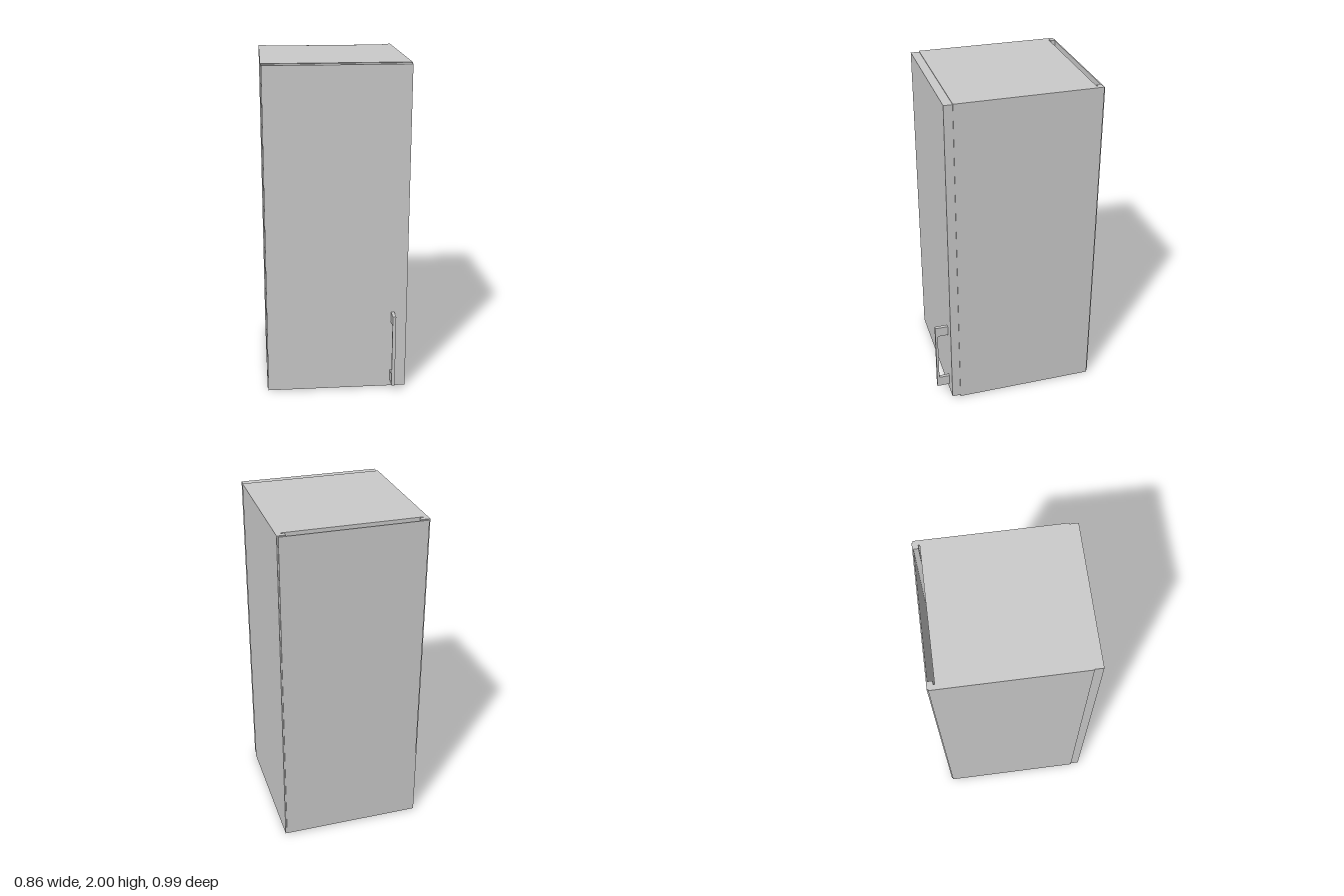
import * as THREE from 'three';

const material = new THREE.MeshStandardMaterial({ color: 0xcccccc });

export function createModel() {
  const cabinet = new THREE.Group();
  cabinet.name = 'wallCabinet';

  function add(name, geometry) {
    const mesh = new THREE.Mesh(geometry, material);
    mesh.name = name;
    cabinet.add(mesh);
    return mesh;
  }

  // Box given by its extents along each axis
  function panel(name, [x0, x1], [y0, y1], [z0, z1]) {
    add(name, new THREE.BoxGeometry(x1 - x0, y1 - y0, z1 - z0))
      .position.set((x0 + x1) / 2, (y0 + y1) / 2, (z0 + z1) / 2);
  }

  const H = 2, inner = 0.378, outer = 0.4275, groove = 0.399;
  const front = 0.365, back = -0.488, board = 0.048;

  // Side panels, each with a full-height groove for the inner back
  for (const [name, s] of [['leftSide', 1], ['rightSide', -1]]) {
    const profile = [
      [outer, front], [outer, back], [inner, back], [inner, -0.46],
      [groove, -0.46], [groove, -0.432], [inner, -0.432], [inner, front],
    ];
    const shape = new THREE.Shape(profile.map(([x, z]) => new THREE.Vector2(s * x, -z)));
    const geometry = new THREE.ExtrudeGeometry(shape, { depth: H, bevelEnabled: false });
    add(name, geometry.rotateX(-Math.PI / 2));
  }

  // Top and bottom boards, and the inner back sitting in the grooves
  panel('topBoard', [-inner, inner], [H - board, H], [-0.432, front]);
  panel('bottomBoard', [-inner, inner], [0, board], [-0.432, front]);
  panel('innerBack', [-groove, groove], [0, H], [-0.452, -0.432]);

  // Thin outer back sheet and the door
  panel('backSheet', [-0.42, 0.42], [0.005, H - 0.005], [-0.495, back]);
  panel('door', [-0.4225, 0.4225], [0.007, H - 0.004], [front, 0.416]);

  // Bow handle: a C profile with rounded inner corners
  const r = 0.01, doorZ = 0.416, barZ = 0.481, tipZ = 0.495;
  const yLow = 0.048, yHigh = 0.503, innerLow = 0.115, innerHigh = 0.44;
  const bow = new THREE.Shape();
  bow.moveTo(doorZ, yLow);
  bow.lineTo(tipZ, yLow);
  bow.lineTo(tipZ, yHigh);
  bow.lineTo(doorZ, yHigh);
  bow.lineTo(doorZ, innerHigh);
  bow.lineTo(barZ - r, innerHigh);
  bow.quadraticCurveTo(barZ, innerHigh, barZ, innerHigh - r);
  bow.lineTo(barZ, innerLow + r);
  bow.quadraticCurveTo(barZ, innerLow, barZ - r, innerLow);
  bow.lineTo(doorZ, innerLow);
  bow.closePath();
  const handle = add('handle', new THREE.ExtrudeGeometry(bow, {
    depth: 0.02, bevelEnabled: false, curveSegments: 6,
  }).rotateY(-Math.PI / 2));
  handle.position.x = 0.347;

  return cabinet;
}
